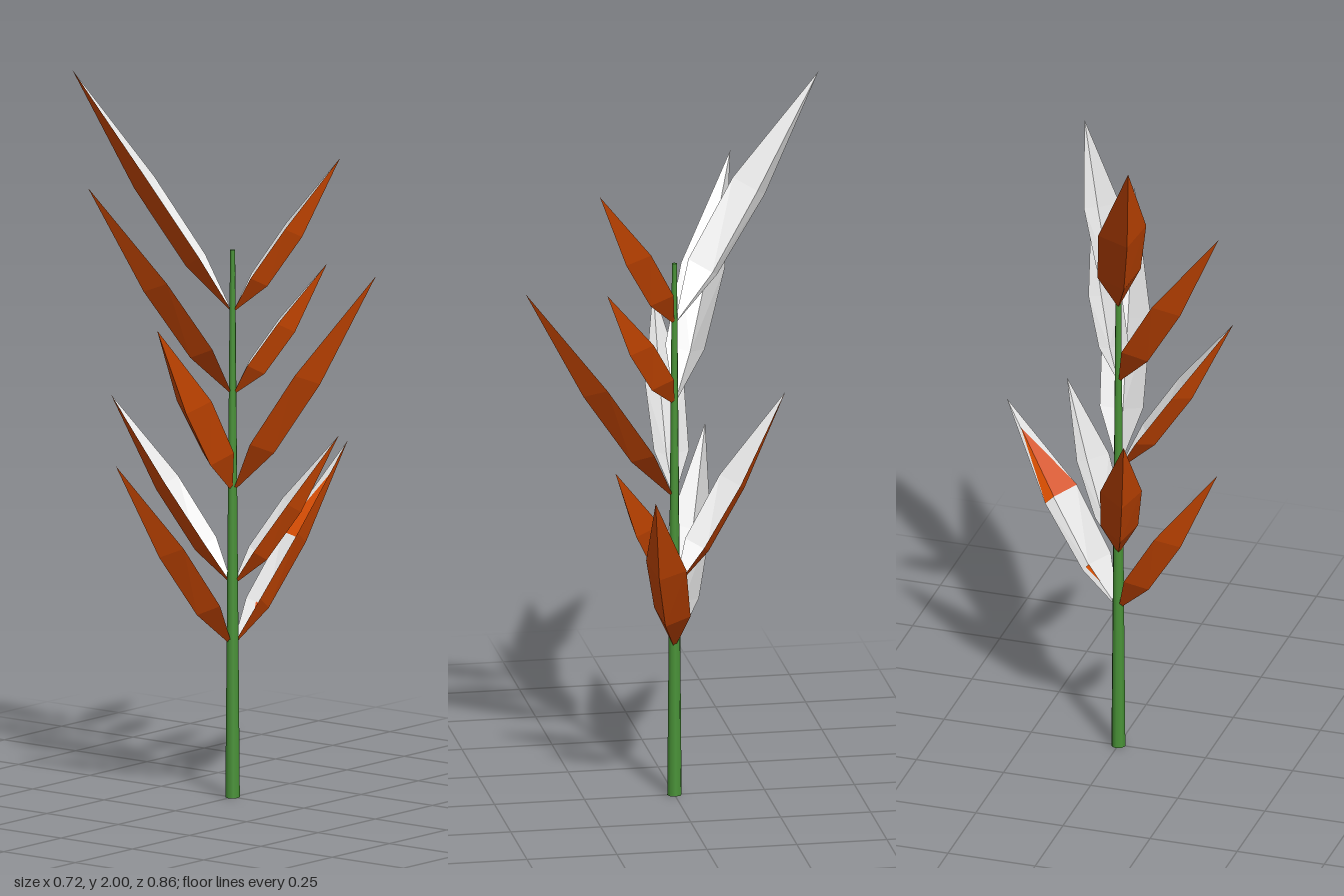
import * as THREE from 'three';

const stemGreen = new THREE.MeshStandardMaterial({ color: 0x4a9438 });
stemGreen.name = 'stemGreen';
const paleGrey = new THREE.MeshStandardMaterial({ color: 0xebebeb });
paleGrey.name = 'paleGrey';
const rust = new THREE.MeshStandardMaterial({ color: 0xe05000 });
rust.name = 'rust';

// Unshared triangles give crisp facets
function facetMesh(name, triangles, material) {
  const geometry = new THREE.BufferGeometry().setFromPoints(triangles.flat());
  geometry.computeVertexNormals();
  const mesh = new THREE.Mesh(geometry, material);
  mesh.name = name;
  return mesh;
}

// A pointed closed leaf with a sagging midrib: pale above, rust below
function makeLeaf(baseY, tipX, tipY, tipZ, roll, withered) {
  const base = new THREE.Vector3(0, baseY, 0);
  const tip = new THREE.Vector3(tipX, tipY, tipZ);
  const along = tip.clone().sub(base);
  const length = along.length();
  along.normalize();
  const side = new THREE.Vector3(-tipZ, 0, tipX).normalize().applyAxisAngle(along, roll);
  const up = side.clone().cross(along);
  const width = 0.02 + 0.06 * length;
  const point = (t, across, lift) => base.clone()
    .addScaledVector(along, t * length)
    .addScaledVector(side, across)
    .addScaledVector(up, lift);

  // Right edges, left edges and midribs at two stations
  const r1 = point(0.22, -0.9 * width, 0.016);
  const l1 = point(0.22, 0.9 * width, 0.016);
  const r2 = point(0.54, -width, 0.016);
  const l2 = point(0.54, width, 0.016);
  const m1 = point(0.22, 0, -0.03);
  const m2 = point(0.54, 0, -0.025);
  const skin = (a, b) => [
    [base, a, r1], [base, l1, a],
    [a, b, r2], [a, r2, r1], [a, l2, b], [a, l1, l2],
    [b, tip, r2], [b, l2, tip],
  ];
  const underside = skin(point(0.22, 0, -0.037), point(0.54, 0, -0.038)).map(([a, b, c]) => [a, c, b]);
  const leaf = new THREE.Group();
  leaf.name = 'leaf';
  leaf.add(facetMesh('leafTop', skin(m1, m2), paleGrey));
  leaf.add(facetMesh('leafUnderside', underside, rust));

  // Rust patches on the upper face, one large near the tip and one small near the base
  if (withered) {
    const end = m2.clone().lerp(tip, 0.7);
    const low = base.clone().lerp(m1, 0.6);
    const edge = m1.clone().lerp(r1, 0.5);
    const patch = facetMesh('rustPatches', [[m2, end, r2], [m2, l2, end], [low, m1, edge]], rust);
    patch.position.copy(up).multiplyScalar(0.002);
    leaf.add(patch);
  }
  return leaf;
}

export function createModel() {
  const plant = new THREE.Group();
  plant.name = 'plant';

  // Tapered stem
  const stem = new THREE.Mesh(new THREE.CylinderGeometry(0.007, 0.02, 1.525, 8), stemGreen);
  stem.name = 'stem';
  stem.position.y = 0.7625;
  plant.add(stem);

  // Leaf pairs up the stem: base height, tip x, y, z, axis roll, withered
  const leaves = [
    [0.42, 0.358, 0.955, 0.117, -0.25, true],
    [0.42, -0.33, 0.955, -0.145, 0],
    [0.59, 0.212, 1.0, 0.202, 0],
    [0.59, -0.12, 1.1, -0.33, 0],
    [0.85, 0.09, 1.49, 0.43, 0],
    [0.85, -0.33, 1.35, 0, 0.15],
    [1.12, 0.147, 1.49, 0.213, 0],
    [1.12, -0.358, 1.725, -0.22, 0],
    [1.35, 0.173, 1.783, 0.238, 0],
    [1.35, -0.165, 2.0, -0.43, 0.2],
  ];
  for (const leaf of leaves) plant.add(makeLeaf(...leaf));
  return plant;
}
